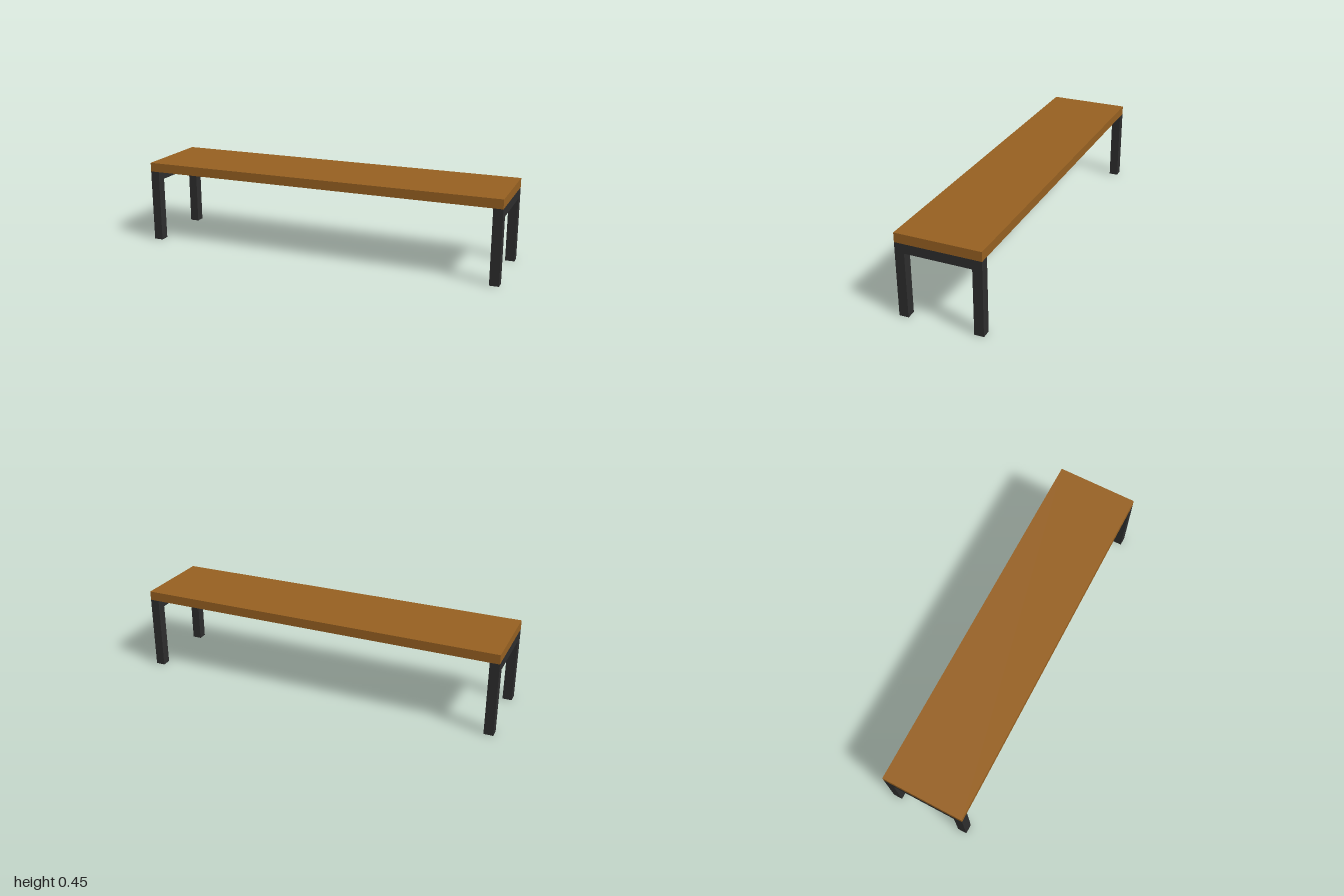
import * as THREE from 'three';

const LENGTH = 2, DEPTH = 0.45, HEIGHT = 0.45, THICK = 0.05;

export function createModel() {
  const wood = new THREE.MeshStandardMaterial({ color: 0x966021 });
  wood.name = 'wood';
  const metal = new THREE.MeshStandardMaterial({ color: 0x2d2d2d });
  metal.name = 'darkMetal';

  const bench = new THREE.Group();
  bench.name = 'bench';

  // Plank seat
  const seat = new THREE.Mesh(new THREE.BoxGeometry(LENGTH, THICK, DEPTH), wood);
  seat.name = 'seat';
  seat.position.y = HEIGHT - THICK / 2;
  bench.add(seat);

  // Square-tube end frame: two legs joined by a rail, as one solid arch
  const w = DEPTH / 2, top = HEIGHT - THICK;
  const arch = new THREE.Shape([
    [-w, 0], [-w + THICK, 0], [-w + THICK, top - THICK], [w - THICK, top - THICK],
    [w - THICK, 0], [w, 0], [w, top], [-w, top],
  ].map(([x, y]) => new THREE.Vector2(x, y)));
  const frame = new THREE.ExtrudeGeometry(arch, { depth: THICK, bevelEnabled: false });
  frame.translate(0, 0, -THICK / 2).rotateY(Math.PI / 2);

  for (const [name, side] of [['leftLegFrame', 1], ['rightLegFrame', -1]]) {
    const legs = new THREE.Mesh(frame, metal);
    legs.name = name;
    legs.position.x = side * (LENGTH - THICK) / 2;
    bench.add(legs);
  }

  return bench;
}
